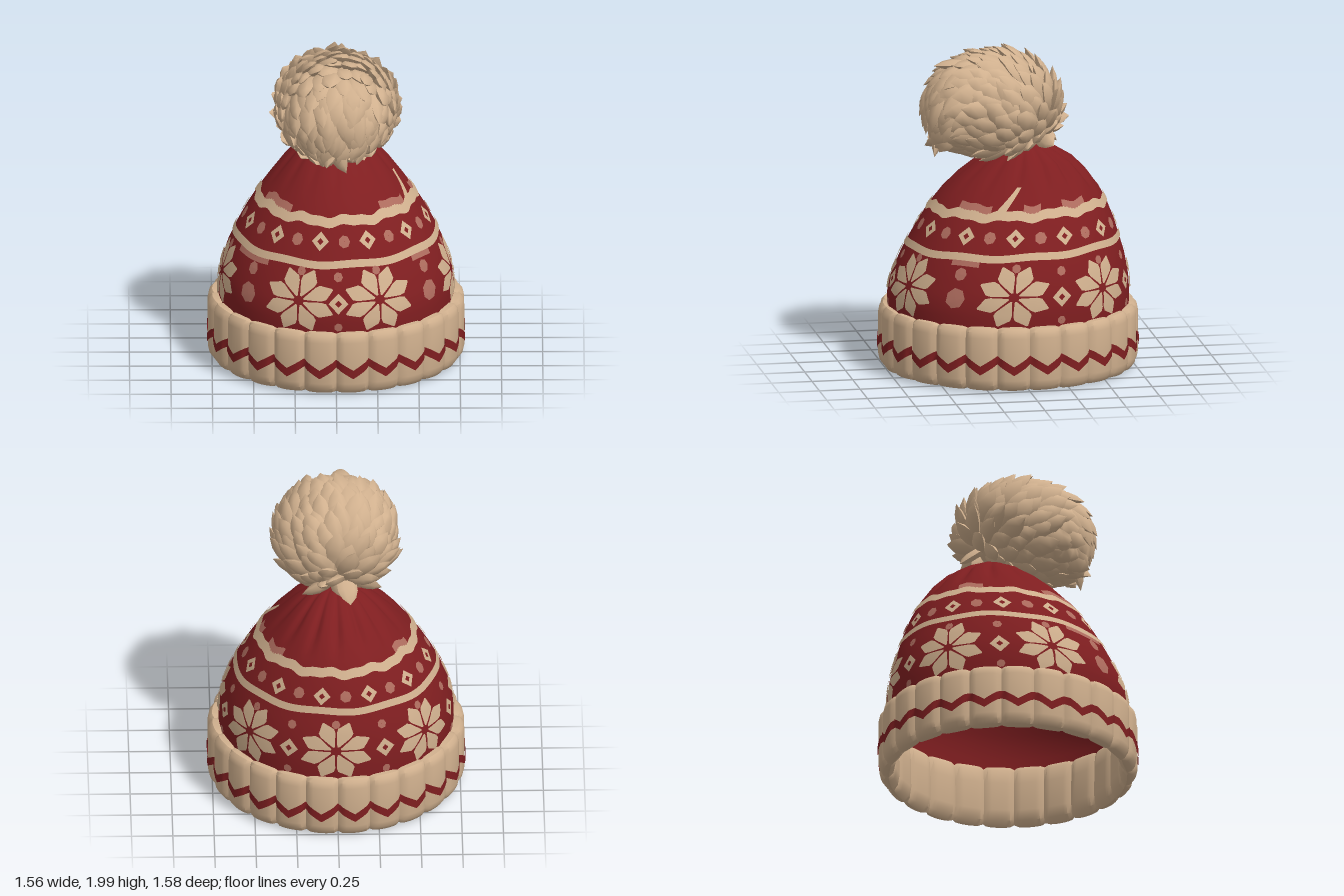
import * as THREE from 'three';
import { mergeVertices, mergeGeometries, toCreasedNormals } from 'three/addons/utils/BufferGeometryUtils.js';

const TAU = Math.PI * 2, DEG = Math.PI / 180, RIBS = 24;

// Grid surface from fn(u, v) -> [x, y, z]; faces out where u runs right and v runs up
function surface(nu, nv, fn) {
  const pos = [], idx = [];
  for (let j = 0; j <= nv; j++) for (let i = 0; i <= nu; i++) pos.push(...fn(i / nu, j / nv));
  for (let j = 0; j < nv; j++) for (let i = 0; i < nu; i++) {
    const a = j * (nu + 1) + i, b = a + nu + 1;
    idx.push(a, a + 1, b + 1, a, b + 1, b);
  }
  let g = new THREE.BufferGeometry();
  g.setAttribute('position', new THREE.Float32BufferAttribute(pos, 3));
  g.setIndex(idx);
  g = mergeVertices(g, 1e-5);
  g.computeVertexNormals();
  return g;
}

// Cap cross-sections: height, half width, front z, back z
const RINGS = [
  [0.2, 0.70, 0.715, -0.715], [0.32, 0.71, 0.73, -0.73], [0.45, 0.712, 0.733, -0.733],
  [0.53, 0.705, 0.72, -0.73], [0.6, 0.69, 0.695, -0.722], [0.7, 0.655, 0.652, -0.702],
  [0.8, 0.608, 0.60, -0.672], [0.9, 0.552, 0.545, -0.642], [1.0, 0.488, 0.482, -0.603],
  [1.1, 0.413, 0.405, -0.552], [1.2, 0.335, 0.305, -0.482], [1.28, 0.262, 0.2, -0.4],
  [1.34, 0.19, 0.1, -0.3], [1.38, 0.12, 0.01, -0.21], [1.4, 0, -0.1, -0.1],
];

function capPoint(theta, y, off = 0) {
  let k = 0;
  while (k < RINGS.length - 2 && y > RINGS[k + 1][0]) k++;
  const A = RINGS[k], B = RINGS[k + 1], t = (y - A[0]) / (B[0] - A[0]);
  const [rx, zf, zb] = [1, 2, 3].map(i => A[i] + (B[i] - A[i]) * t);
  // gathers towards the crown, strongest at the back
  const gather = THREE.MathUtils.smoothstep(y, 1.08, 1.26) * (0.6 - 0.4 * Math.cos(theta));
  const f = 1 - 0.1 * gather * Math.pow(Math.abs(Math.cos(theta * 7)), 6);
  return [(rx * f + off) * Math.sin(theta), y, (zf + zb) / 2 + ((zf - zb) / 2 * f + off) * Math.cos(theta)];
}

// Lays a flat geometry (x = around, y = up) onto the cap
function onCap(flat, deg, y0) {
  const p = flat.attributes.position;
  const r = capPoint(Math.PI / 2, y0)[0];
  for (let i = 0; i < p.count; i++) p.setXYZ(i, ...capPoint(deg * DEG + p.getX(i) / r, y0 + p.getY(i), 0.009));
  flat.computeVertexNormals();
  flat.deleteAttribute('uv');
  return flat;
}

const diamond = (inner, outer) => new THREE.RingGeometry(inner, outer, 4, 2);
const blob = r => new THREE.RingGeometry(0.001, r, 7, 2);

// Leaf-shaped petal pointing away from the centre of a snowflake
function petal(angle) {
  const g = new THREE.PlaneGeometry(1, 1, 2, 6), p = g.attributes.position;
  for (let i = 0; i < p.count; i++) {
    const s = p.getY(i) + 0.5;
    const w = p.getX(i) * 0.1 * Math.min(1, s * 1.6 + 0.1, (1 - s) * 2.6 + 0.1);
    const d = 0.03 + 0.178 * s;
    const c = Math.cos(angle), n = Math.sin(angle);
    p.setXY(i, (d * c + w * n) * 1.08, (d * n - w * c) * 0.9);
  }
  return g;
}

// Horizontal knitted stripe between two angles
function band(from, to, mid, half) {
  const n = Math.max(4, Math.round((to - from) / 2.5));
  return surface(n, 2, (u, v) => {
    const th = (from + (to - from) * u) * DEG;
    return capPoint(th, mid(th) + (v * 2 - 1) * half, 0.009);
  });
}

// Cuff section: outside up, over the top, inside down, under the hem
const CUFF = [[0.78, 0.08], [0.78, 0.34], [0.772, 0.378], [0.752, 0.398], [0.71, 0.4], [0.685, 0.37],
  [0.675, 0.28], [0.672, 0.1], [0.685, 0.035], [0.715, 0.005], [0.75, 0.015], [0.772, 0.045], [0.78, 0.08]];

function cuffPoint(theta, r, y) {
  const bulge = Math.pow(Math.abs(Math.sin(theta * RIBS / 2)), 0.3);
  const rr = 0.72 + (r - 0.72) * (0.5 + 0.5 * bulge);
  const yy = 0.2 + (y - 0.2) * (0.94 + 0.06 * bulge);
  return [rr * Math.sin(theta), yy, rr * 1.008 * Math.cos(theta)];
}

function random(seed) {
  return () => (seed = (seed * 16807) % 2147483647) / 2147483647;
}

// One pointed, flattened tuft curling over the ball
function tuft(base, n, d, len, width) {
  const b = n.clone().addScaledVector(d, -n.dot(d)).normalize();
  const a = new THREE.Vector3().crossVectors(b, d);
  const size = [0.8, 1, 1, 0.7, 0];
  return surface(6, 4, (u, v) => {
    const k = size[Math.round(v * 4)] * width, f = u * TAU;
    return base.clone().addScaledVector(d, len * v).addScaledVector(n, -0.03 * v * v)
      .addScaledVector(a, k * Math.cos(f)).addScaledVector(b, k * 0.5 * Math.sin(f)).toArray();
  });
}

function pomPom() {
  const rnd = random(77), parts = [], count = 230;
  const root = new THREE.Vector3(0, -0.6, -0.8), centre = new THREE.Vector3(0, 1.62, 0.1);
  for (let i = 0; i < count; i++) {
    const y = 1 - 2 * (i + 0.5) / count, r = Math.sqrt(1 - y * y), f = i * 2.39996 + rnd() * 0.25;
    const n = new THREE.Vector3(r * Math.sin(f), y, r * Math.cos(f));
    const base = n.clone().multiply(new THREE.Vector3(0.34, 0.285, 0.385)).add(centre);
    // sweep up from the root and over the top, drooping at the front
    const t = root.clone().multiplyScalar(-0.5 - 0.4 * (n.dot(root) + 1) / 2);
    t.y -= 1.2 * Math.max(0, n.z);
    t.x += (rnd() - 0.5) * 0.4;
    t.y += (rnd() - 0.5) * 0.25;
    t.addScaledVector(n, -t.dot(n));
    const d = t.addScaledVector(n, 0.28).normalize();
    base.addScaledVector(d, -0.05);
    parts.push(tuft(base, n, d, 0.18 + rnd() * 0.06, 0.054 + rnd() * 0.016));
  }
  return toCreasedNormals(mergeGeometries(parts), 1.1);
}

export function createModel() {
  const group = new THREE.Group();
  const mat = (name, color) => Object.assign(new THREE.MeshStandardMaterial({ color }), { name });
  const red = mat('red wool', 0x7f1e20), cream = mat('cream wool', 0xd0b08e), pink = mat('faded pink wool', 0xae6c5e);
  red.side = THREE.DoubleSide;
  const add = (name, geometry, material) => {
    const m = new THREE.Mesh(geometry, material);
    m.name = name;
    group.add(m);
  };

  // Cap with its inside showing
  const rows = RINGS.length - 1;
  add('cap', surface(126, rows * 2, (u, v) => {
    const k = Math.min(rows - 1, Math.floor(v * rows + 1e-6)), t = v * rows - k;
    return capPoint(u * TAU, RINGS[k][0] + (RINGS[k + 1][0] - RINGS[k][0]) * t);
  }), red);

  // Ribbed cuff and its zigzag
  const last = CUFF.length - 1;
  add('cuff', toCreasedNormals(surface(RIBS * 8, last, (u, v) => cuffPoint(u * TAU, ...CUFF[Math.round(v * last)])), 0.7), cream);
  add('cuffZigzag', surface(RIBS * 8, 1, (u, v) => {
    const s = (u * RIBS) % 1, valley = 1 - Math.abs(2 * s - 1);
    return cuffPoint(u * TAU, 0.786, 0.205 - 0.065 * valley + (v - 0.5) * 0.054);
  }), red);

  // Stripes
  const lower = th => 0.805 - 0.018 * Math.cos(th) + 0.005 * Math.sin(9 * th);
  const upper = th => 1.03 - 0.012 * Math.cos(th) + 0.008 * Math.sin(11 * th) + 0.005 * Math.sin(23 * th);
  add('lowerStripe', band(0, 360, lower, 0.021), cream);
  add('upperStripe', band(0, 360, upper, 0.026), cream);
  const fades = [];
  for (const [from, to] of [[-68, -36], [36, 62], [84, 96], [112, 132], [232, 250]])
    fades.push(band(from, to, th => upper(th) + 0.043, 0.02));
  for (const [from, to] of [[-66, -40], [46, 62]]) fades.push(band(from, to, th => lower(th) - 0.036, 0.015));
  add('fadedStripes', mergeGeometries(fades), pink);

  // Stray stitch above the stripe on the left side
  add('strayStitch', surface(4, 6, (u, v) =>
    capPoint((67 + 12 * v + (u - 0.5) * 7 * (1 - 0.5 * v)) * DEG, 1.03 + 0.15 * v, 0.009)), cream);

  // Snowflakes
  const petals = [], flakes = [-19, 22, 82, 131, 179, 229, 281];
  for (const deg of flakes)
    for (let k = 0; k < 8; k++) petals.push(onCap(petal((22.5 + 45 * k) * DEG), deg, 0.58));
  add('snowflakes', mergeGeometries(petals), cream);

  // Small motifs between the snowflakes and between the stripes
  const rings = [], dots = [];
  for (const deg of [1, 106, 155, 204, 255]) {
    rings.push(onCap(diamond(0.02, 0.06), deg, 0.57));
    dots.push(onCap(blob(0.028), deg, 0.72), onCap(blob(0.026), deg, 0.43));
  }
  for (const deg of [-49, 53]) dots.push(onCap(blob(0.062), deg, 0.56), onCap(blob(0.038), deg, 0.7));
  for (const deg of flakes) dots.push(onCap(blob(0.026), deg, 0.745));
  for (let k = 0; k < 12; k++) {
    rings.push(onCap(diamond(0.018, 0.052), -10 + 30 * k, 0.91));
    dots.push(onCap(blob(0.035), 5 + 30 * k, 0.91));
  }
  add('diamondMotifs', mergeGeometries(rings), cream);
  add('fadedDots', mergeGeometries(dots), pink);

  // Pompom
  const core = new THREE.SphereGeometry(1, 32, 20).scale(0.335, 0.28, 0.38).translate(0, 1.62, 0.1);
  add('pompomCore', core, cream);
  add('pompomTufts', pomPom(), cream);
  return group;
}
